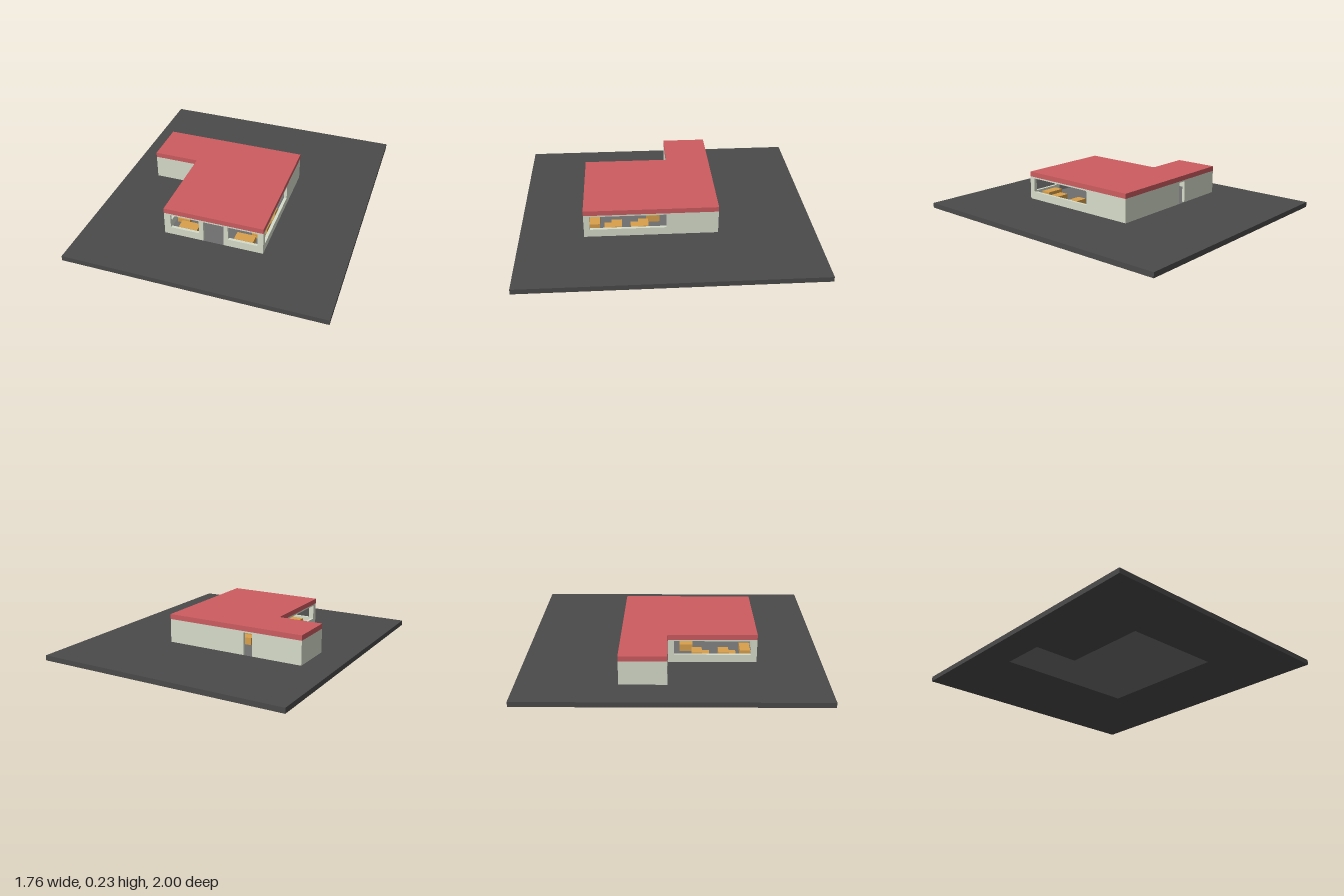
import * as THREE from 'three';

const BASE = 0.035, WALL_TOP = 0.2, ROOF_TOP = 0.235, T = 0.02;
// L-shaped footprint as [x, z]
const PLAN = [[-0.66, -0.03], [-0.345, -0.03], [-0.345, 0.565], [0.34, 0.565], [0.34, -0.34], [-0.66, -0.34]];

const mat = (color) => new THREE.MeshStandardMaterial({ color });
const M = {
  ground: mat(0x4a4a4a), floor: mat(0x6e6e6e), wall: mat(0xd6dcca),
  roof: mat(0xcc5c60), wood: mat(0xd9a04c), screen: mat(0xa3a8b2),
};

const toPoints = (pts) => pts.map(([x, z]) => new THREE.Vector2(x, -z));

export function createModel() {
  const group = new THREE.Group();

  const add = (name, geometry, material) => {
    const mesh = new THREE.Mesh(geometry, material);
    mesh.name = name;
    group.add(mesh);
    return mesh;
  };

  // Horizontal slab from a plan outline
  const slab = (name, shape, y0, y1, material) => {
    const g = new THREE.ExtrudeGeometry(shape, { depth: y1 - y0, bevelEnabled: false });
    g.rotateX(-Math.PI / 2).translate(0, y0, 0);
    return add(name, g, material);
  };

  // Box from its min and max corners
  const box = (name, [x0, x1], [y0, y1], [z0, z1], material) => {
    const g = new THREE.BoxGeometry(x1 - x0, y1 - y0, z1 - z0);
    g.translate((x0 + x1) / 2, (y0 + y1) / 2, (z0 + z1) / 2);
    return add(name, g, material);
  };

  // Upright wall from u0 to u1, with door notches [u0, u1] and windows [u0, u1]
  const wallGeometry = (u0, u1, doors, windows) => {
    const pts = [[u0, BASE]];
    for (const [a, b] of doors) pts.push([a, BASE], [a, 0.19], [b, 0.19], [b, BASE]);
    pts.push([u1, BASE], [u1, WALL_TOP], [u0, WALL_TOP]);
    const shape = new THREE.Shape(pts.map(([u, y]) => new THREE.Vector2(u, y)));
    for (const [a, b] of windows) {
      shape.holes.push(new THREE.Path([[a, 0.09], [a, 0.19], [b, 0.19], [b, 0.09]]
        .map(([u, y]) => new THREE.Vector2(u, y))));
    }
    return new THREE.ExtrudeGeometry(shape, { depth: T, bevelEnabled: false });
  };
  const wallX = (name, x0, x1, zMin, doors = [], windows = []) =>
    add(name, wallGeometry(x0, x1, doors, windows).translate(0, 0, zMin), M.wall);
  const wallZ = (name, z0, z1, xMax, windows = []) =>
    add(name, wallGeometry(z0, z1, [], windows).rotateY(-Math.PI / 2).translate(xMax, 0, 0), M.wall);

  // Site, floor and roof
  const site = new THREE.Shape(toPoints([[-0.88, 1], [0.88, 1], [0.88, -1], [-0.88, -1]]));
  site.holes.push(new THREE.Path(toPoints([...PLAN].reverse())));
  const plan = new THREE.Shape(toPoints(PLAN));
  slab('ground', site, 0, BASE, M.ground);
  slab('floor', plan, 0, BASE, M.floor);
  slab('roof', plan, WALL_TOP, ROOF_TOP, M.roof);

  // Walls
  wallX('frontWall', -0.345, 0.34, 0.565 - T, [[-0.07, 0.07]], [[-0.3, -0.1], [0.1, 0.3]]);
  wallX('backWall', -0.66, 0.34, -0.34, [[-0.305, -0.24]]);
  wallX('wingFrontWall', -0.66, -0.345, -0.03 - T);
  wallZ('wingEndWall', -0.34 + T, -0.03 - T, -0.66 + T);
  wallZ('leftWall', -0.34 + T, 0.565 - T, 0.34, [[0.01, 0.525]]);
  wallZ('rightWall', -0.03 - T, 0.565 - T, -0.345 + T, [[0.01, 0.525]]);

  // Service counter with two sloped screens, and a worktop behind it
  box('counter', [-0.18, 0.18], [BASE, 0.085], [0.05, 0.14], M.wood);
  box('worktop', [-0.18, 0.28], [BASE, 0.085], [-0.13, -0.06], M.wood);
  const wedge = new THREE.Shape([[0, 0], [0.022, 0], [0.016, 0.025]].map(([u, y]) => new THREE.Vector2(u, y)));
  for (const x of [-0.03, 0.07]) {
    const g = new THREE.ExtrudeGeometry(wedge, { depth: 0.04, bevelEnabled: false });
    add('counterScreen', g.rotateY(-Math.PI / 2).translate(x, 0.085, 0.1), M.screen);
  }

  // Row of overhead boards
  for (let i = 0; i < 11; i++) {
    const x = -0.18 + i * 0.042;
    box('overheadBoard', [x, x + 0.038], [0.165, WALL_TOP], [-0.03, -0.02], M.screen);
  }

  // Seating along the side windows and front windows
  for (const s of [-1, 1]) {
    const span = (a, b) => (s > 0 ? [a, b] : [-b, -a]);
    for (const z of [0.13, 0.31]) {
      box('sideTable', span(0.22, 0.31), [BASE, 0.088], [z, z + 0.07], M.wood);
      box('sideBench', span(0.22, 0.31), [BASE, 0.065], [z + 0.07, z + 0.12], M.wood);
    }
    box('frontTable', span(0.13, 0.26), [BASE, 0.08], [0.46, 0.53], M.wood);
  }

  return group;
}
